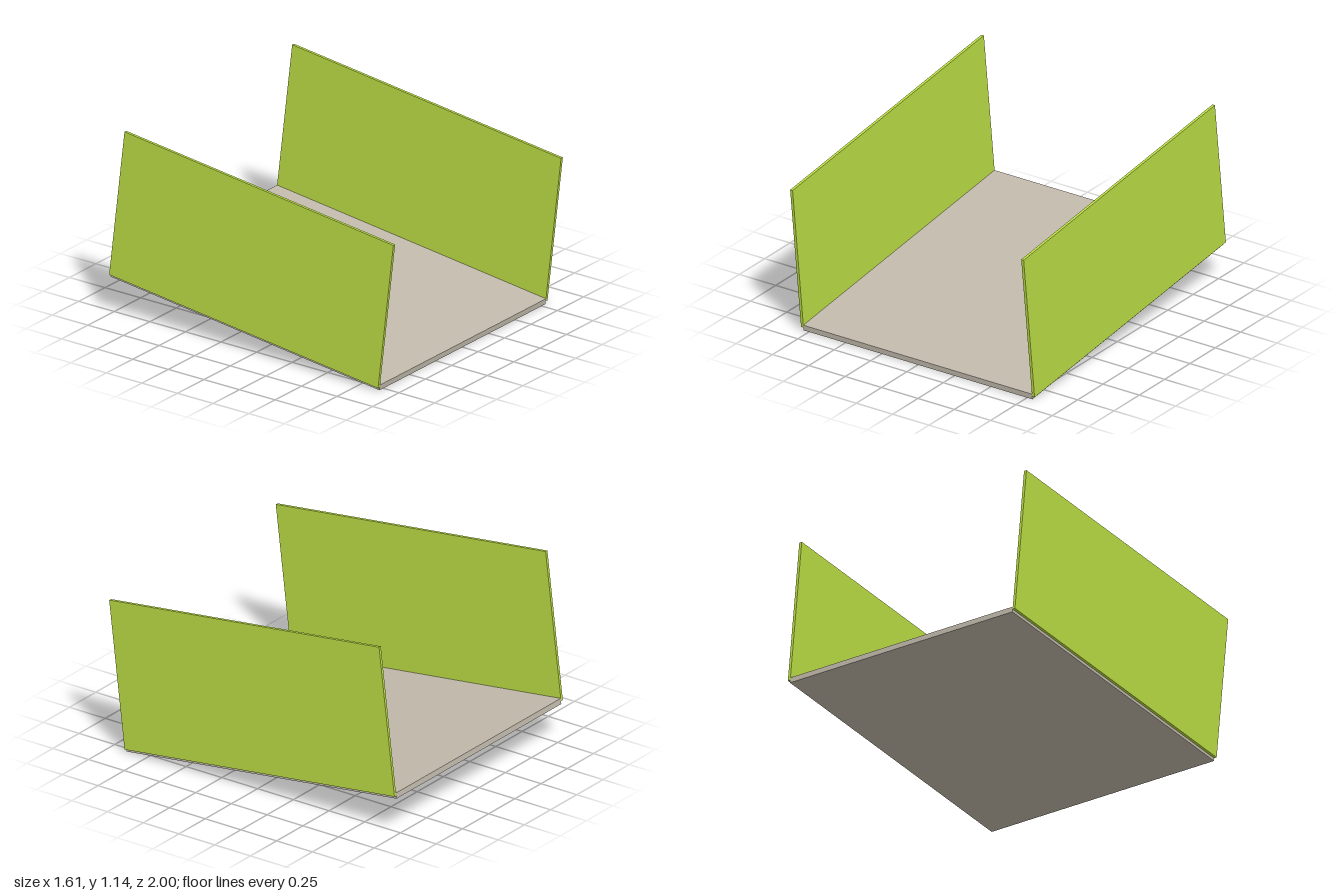
import * as THREE from 'three';

export function createModel() {
  const model = new THREE.Group();
  const length = 1.902, wallHeight = 0.907, wallThickness = 0.017;
  const floorWidth = 1.572, floorThickness = 0.034;

  const floorMaterial = new THREE.MeshStandardMaterial({ color: 0xc2baac });
  const wallMaterial = new THREE.MeshStandardMaterial({ color: 0xbbdd44 });

  // Tilted tray, pivoting on the lower front edge of the walls
  const tray = new THREE.Group();
  tray.name = 'tiltedTray';
  tray.position.set(0, 0.018, 0.892);
  tray.rotation.x = 0.119;
  model.add(tray);

  const addPanel = (name, size, x, y, material) => {
    const panel = new THREE.Mesh(new THREE.BoxGeometry(...size), material);
    panel.name = name;
    panel.position.set(x, y, -length / 2);
    tray.add(panel);
  };

  // Floor panel, set half below the wall bottoms
  addPanel('floor', [floorWidth, floorThickness, length], 0, -0.001, floorMaterial);

  // Side walls against the floor's edges
  for (const [name, side] of [['leftWall', 1], ['rightWall', -1]]) {
    addPanel(name, [wallThickness, wallHeight, length],
      side * (floorWidth + wallThickness) / 2, wallHeight / 2, wallMaterial);
  }

  return model;
}
